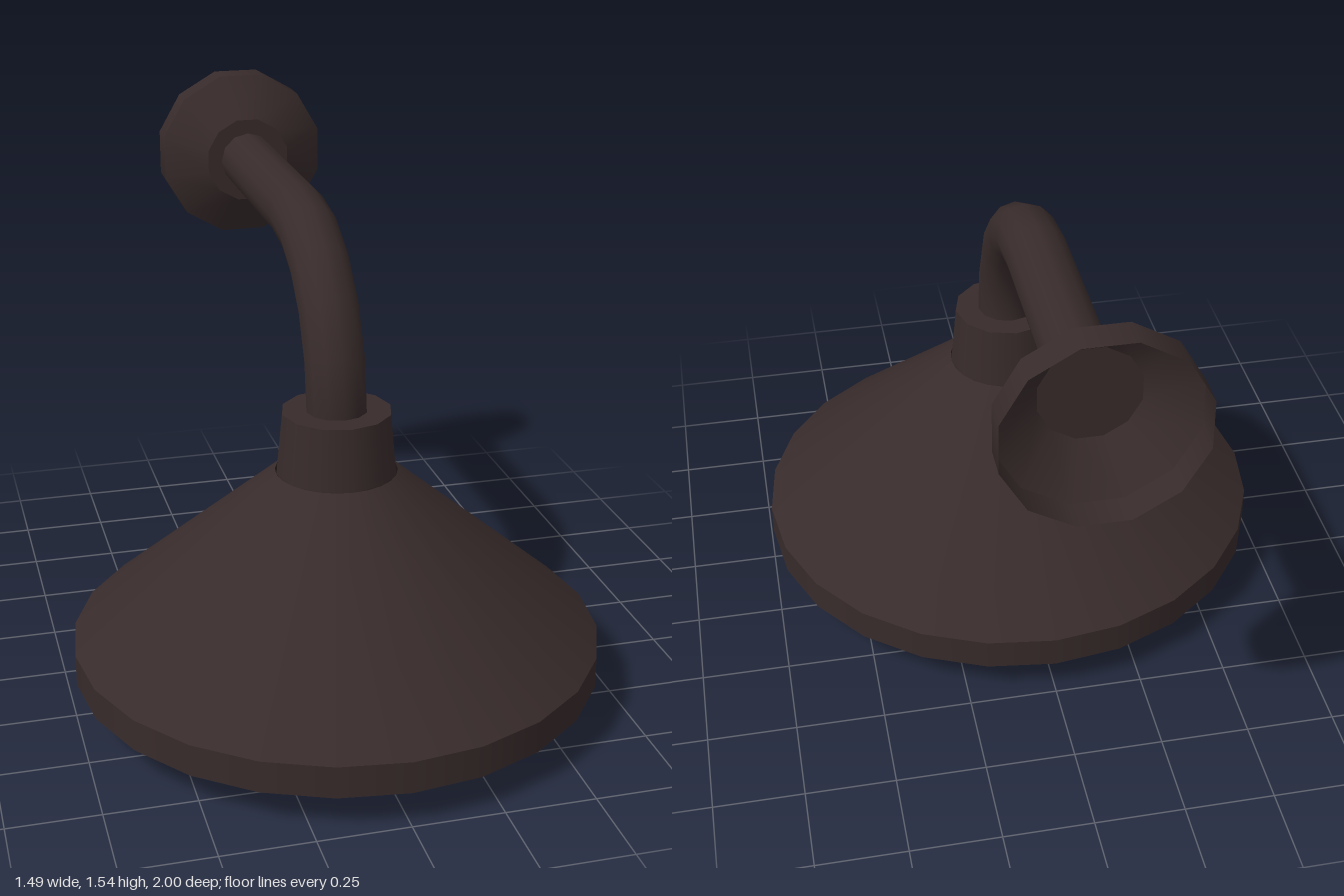
import * as THREE from 'three';

export function createModel() {
  const model = new THREE.Group();
  const metal = new THREE.MeshStandardMaterial({ color: 0x382b2b, side: THREE.DoubleSide });
  metal.name = 'dark bronze metal';
  const glass = new THREE.MeshStandardMaterial({ color: 0xdec55e });
  glass.name = 'warm yellow glass';

  const lampZ = 0.255, armY = 1.29, bend = 0.44, armR = 0.085;

  function add(name, geometry, material, x, y, z) {
    const mesh = new THREE.Mesh(geometry, material);
    mesh.name = name;
    mesh.position.set(x, y, z);
    model.add(mesh);
    return mesh;
  }

  // Upright tapered section on the lamp axis, from y0 up to y1
  function section(name, r0, y0, r1, y1, sides, open) {
    add(name, new THREE.CylinderGeometry(r1, r0, y1 - y0, sides, 1, open), metal, 0, (y0 + y1) / 2, lampZ);
  }

  // Tapered section along z, from z0 (wall side) forward to z1
  function wallSection(name, r0, z0, r1, z1, sides, start) {
    const g = new THREE.CylinderGeometry(r1, r0, z1 - z0, sides, 1, true, start).rotateX(Math.PI / 2);
    add(name, g, metal, 0, armY, (z0 + z1) / 2);
  }

  // Thin open shade with a collar on top
  section('shadeRim', 0.745, 0.1, 0.745, 0.19, 24, true);
  section('shadeCone', 0.745, 0.19, 0.17, 0.675, 24, true);
  section('collar', 0.17, 0.675, 0.153, 0.85, 12, false);

  // Lamp holder inside the shade
  section('holder', 0.165, 0.45, 0.165, 0.675, 12, false);
  section('socket', 0.08, 0.4, 0.08, 0.45, 12, false);

  // Bulb: round globe narrowing to a neck
  const profile = [];
  for (let i = 0; i <= 12; i++) {
    const a = (i / 12) * Math.PI * 0.84;
    profile.push(new THREE.Vector2(0.15 * Math.sin(a), 0.15 - 0.15 * Math.cos(a)));
  }
  profile.push(new THREE.Vector2(0.058, 0.33), new THREE.Vector2(0.058, 0.41));
  add('bulb', new THREE.LatheGeometry(profile, 20), glass, 0, 0, lampZ);

  // Bent arm: straight tube and a quarter-turn elbow
  const elbow = add('armElbow', new THREE.TorusGeometry(bend, armR, 12, 5, Math.PI / 2), metal, 0, armY - bend, lampZ - bend);
  elbow.rotation.y = -Math.PI / 2;
  wallSection('armStraight', armR, -0.825, armR, lampZ - bend, 12, 0);

  // Hollow twelve-sided wall mount
  const turn = Math.PI / 12;
  wallSection('mountRim', 0.26, -1, 0.26, -0.915, 12, turn);
  wallSection('mountTaper', 0.26, -0.915, 0.132, -0.825, 12, turn);
  add('mountFace', new THREE.CircleGeometry(0.132, 12, turn), metal, 0, armY, -0.825);

  return model;
}
